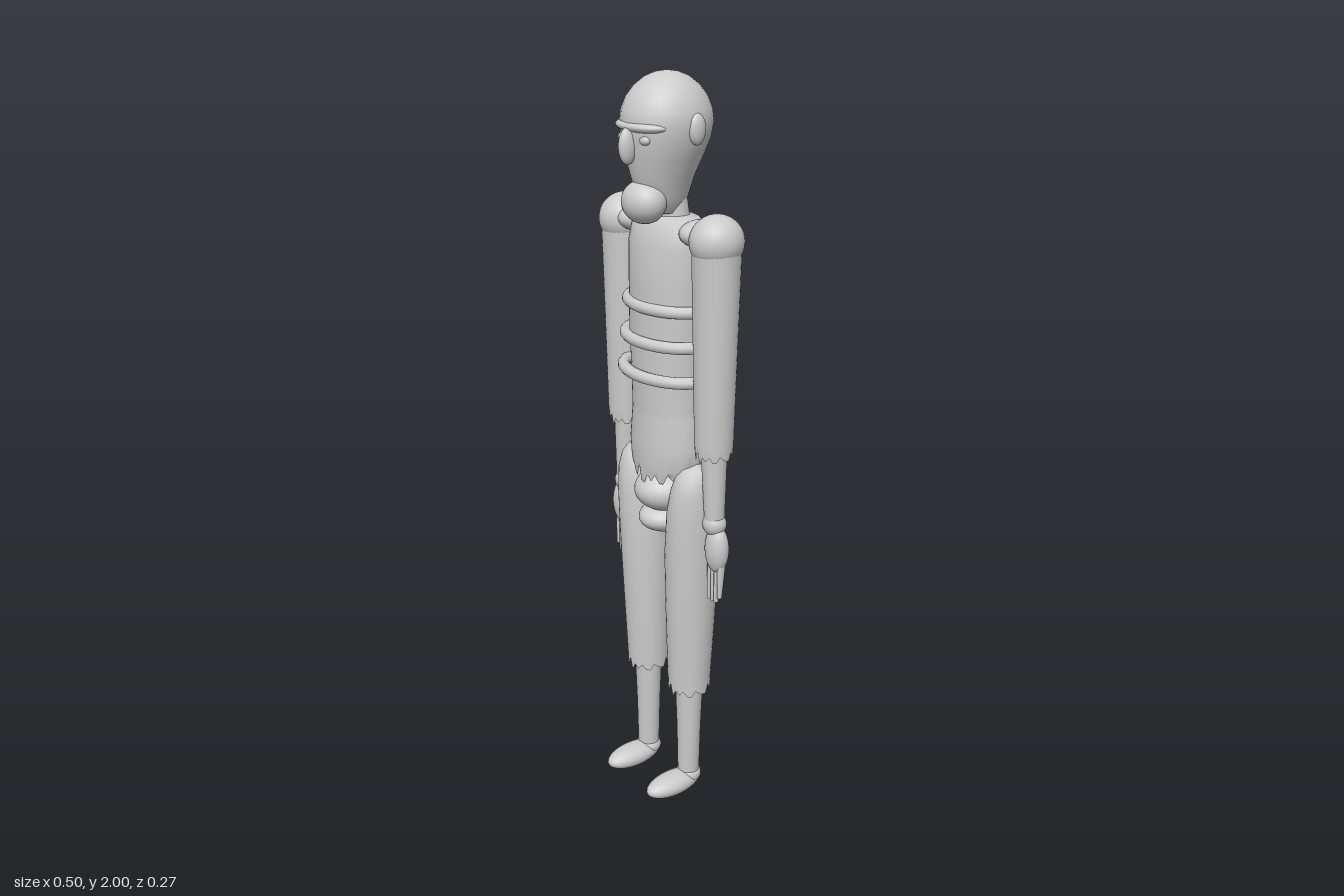
import * as THREE from 'three';

const material = new THREE.MeshStandardMaterial({ color: 0xcccccc, side: THREE.DoubleSide });
const CZ = -0.02; // depth of the body's middle plane

// Stacked ellipses [y, rx, rz, cx, cz], lowest first; jag lifts the lowest edge into a torn hem.
function loft(name, sections, { sides = 32, jag = 0 } = {}) {
  const pos = [], index = [];
  sections.forEach(([y, rx, rz, cx = 0, cz = CZ], i) => {
    for (let j = 0; j < sides; j++) {
      const a = (j / sides) * Math.PI * 2;
      const torn = i === 0 ? jag * Math.abs(Math.sin(j * 2.3) * Math.cos(j * 0.9)) : 0;
      pos.push(cx + rx * Math.sin(a), y + torn, cz + rz * Math.cos(a));
      if (i < sections.length - 1) {
        const k = (j + 1) % sides, b = i * sides, t = b + sides;
        index.push(b + j, b + k, t + k, b + j, t + k, t + j);
      }
    }
  });
  const geo = new THREE.BufferGeometry();
  geo.setAttribute('position', new THREE.Float32BufferAttribute(pos, 3));
  geo.setIndex(index);
  geo.computeVertexNormals();
  const mesh = new THREE.Mesh(geo, material);
  mesh.name = name;
  return mesh;
}

function ellipsoid(name, [x, y, z], [rx, ry, rz]) {
  const mesh = new THREE.Mesh(new THREE.SphereGeometry(1, 28, 18), material);
  mesh.name = name;
  mesh.position.set(x, y, z);
  mesh.scale.set(rx, ry, rz);
  return mesh;
}

function createHead() {
  const head = new THREE.Group();
  head.name = 'head';
  head.add(loft('skull', [
    [1.655, 0.001, 0.001, 0, 0], [1.66, 0.04, 0.05, 0, -0.005], [1.70, 0.055, 0.07, 0, 0],
    [1.75, 0.07, 0.086, 0, 0], [1.80, 0.09, 0.103, 0, -0.005], [1.84, 0.104, 0.114, 0, -0.01],
    [1.88, 0.111, 0.12, 0, -0.012], [1.91, 0.107, 0.116, 0, -0.012], [1.94, 0.095, 0.103, 0, -0.012],
    [1.965, 0.077, 0.083, 0, -0.012], [1.985, 0.053, 0.057, 0, -0.012], [1.996, 0.027, 0.03, 0, -0.012],
    [2.0, 0.001, 0.001, 0, -0.012],
  ]));
  head.add(
    ellipsoid('jaw', [0, 1.69, 0.06], [0.064, 0.054, 0.052]),
    ellipsoid('nose', [0, 1.83, 0.108], [0.018, 0.045, 0.025]),
    ellipsoid('brow', [0, 1.875, 0.06], [0.088, 0.02, 0.054]),
  );
  for (const s of [-1, 1]) {
    head.add(ellipsoid('ear', [s * 0.107, 1.87, -0.02], [0.016, 0.038, 0.024]));
    head.add(ellipsoid('eye', [s * 0.042, 1.846, 0.088], [0.017, 0.012, 0.012]));
  }
  return head;
}

function createTorso() {
  const torso = new THREE.Group();
  torso.name = 'torso';
  torso.add(
    loft('neck', [[1.62, 0.06, 0.05, 0, -0.025], [1.655, 0.05, 0.045, 0, -0.025], [1.72, 0.045, 0.04, 0, -0.02]]),
    loft('shirt', [
      [0.94, 0.098, 0.083], [0.99, 0.115, 0.088], [1.05, 0.121, 0.089], [1.13, 0.113, 0.085],
      [1.22, 0.107, 0.083], [1.35, 0.115, 0.087], [1.48, 0.123, 0.09], [1.58, 0.125, 0.087],
      [1.63, 0.12, 0.072], [1.65, 0.1, 0.057], [1.655, 0.001, 0.001],
    ], { sides: 48, jag: 0.06 }),
    loft('chestPatch', [
      [1.13, 0.113, 0.085], [1.23, 0.111, 0.088], [1.35, 0.119, 0.092], [1.53, 0.123, 0.087],
    ], { sides: 48, jag: 0.03 }),
    ellipsoid('upperPelvis', [0, 0.91, CZ], [0.085, 0.062, 0.098]),
    ellipsoid('lowerPelvis', [0, 0.83, CZ], [0.07, 0.043, 0.088]),
  );
  // Hoops around the ribs, wider toward the waist
  [[1.425, 0.13, 0.088], [1.335, 0.136, 0.096], [1.245, 0.144, 0.1]].forEach(([y, rx, rz]) => {
    const points = Array.from({ length: 32 }, (_, i) => {
      const a = (i / 32) * Math.PI * 2;
      return new THREE.Vector3(rx * Math.sin(a), y, CZ + rz * Math.cos(a));
    });
    const path = new THREE.CatmullRomCurve3(points, true);
    const hoop = new THREE.Mesh(new THREE.TubeGeometry(path, 64, 0.016, 10, true), material);
    hoop.name = 'ribHoop';
    torso.add(hoop);
  });
  return torso;
}

function createArm(s) {
  const arm = new THREE.Group();
  arm.name = s > 0 ? 'leftArm' : 'rightArm';
  const x = s * 0.185;
  arm.add(
    ellipsoid('collar', [s * 0.125, 1.622, CZ], [0.05, 0.034, 0.058]),
    ellipsoid('shoulder', [x, 1.612, CZ], [0.067, 0.067, 0.07]),
    loft('sleeve', [[1.045, 0.05, 0.047, x], [1.09, 0.052, 0.05, x], [1.35, 0.057, 0.056, x], [1.62, 0.062, 0.063, x]],
      { jag: 0.04 }),
    loft('forearm', [[0.86, 0.026, 0.026, s * 0.192], [1.11, 0.036, 0.036, x]]),
    ellipsoid('wrist', [s * 0.192, 0.867, CZ], [0.033, 0.033, 0.031]),
    ellipsoid('palm', [s * 0.203, 0.798, CZ], [0.036, 0.068, 0.029]),
  );
  // Four straight fingers, with a shorter outer one
  for (let i = 0; i < 4; i++) {
    const fx = s * (0.182 + i * 0.0135), low = i === 3 ? 0.66 : 0.645;
    arm.add(loft('finger', [[low, 0.001, 0.001, fx, -0.015], [low + 0.002, 0.006, 0.007, fx, -0.015],
      [0.76, 0.008, 0.013, fx]], { sides: 12 }));
  }
  return arm;
}

function createLeg(s) {
  const leg = new THREE.Group();
  leg.name = s > 0 ? 'leftLeg' : 'rightLeg';
  const x = s * 0.093;
  leg.add(
    loft('trouserLeg', [
      [0.32, 0.06, 0.058, x], [0.38, 0.061, 0.06, x], [0.55, 0.066, 0.068, s * 0.096],
      [0.75, 0.07, 0.076, s * 0.1], [0.87, 0.066, 0.077, s * 0.107], [0.94, 0.059, 0.071, s * 0.114],
      [0.98, 0.049, 0.058, s * 0.117], [1.0, 0.033, 0.04, s * 0.118], [1.01, 0.001, 0.001, s * 0.118],
    ], { jag: 0.045 }),
    loft('shin', [[0.04, 0.03, 0.03, x], [0.2, 0.034, 0.033, x], [0.4, 0.042, 0.04, x]]),
    ellipsoid('ankle', [x, 0.045, CZ], [0.036, 0.03, 0.036]),
    ellipsoid('foot', [x, 0.032, 0.036], [0.042, 0.032, 0.091]),
  );
  return leg;
}

export function createModel() {
  const model = new THREE.Group();
  model.name = 'figure';
  model.add(createHead(), createTorso());
  for (const s of [-1, 1]) model.add(createArm(s), createLeg(s));
  return model;
}
